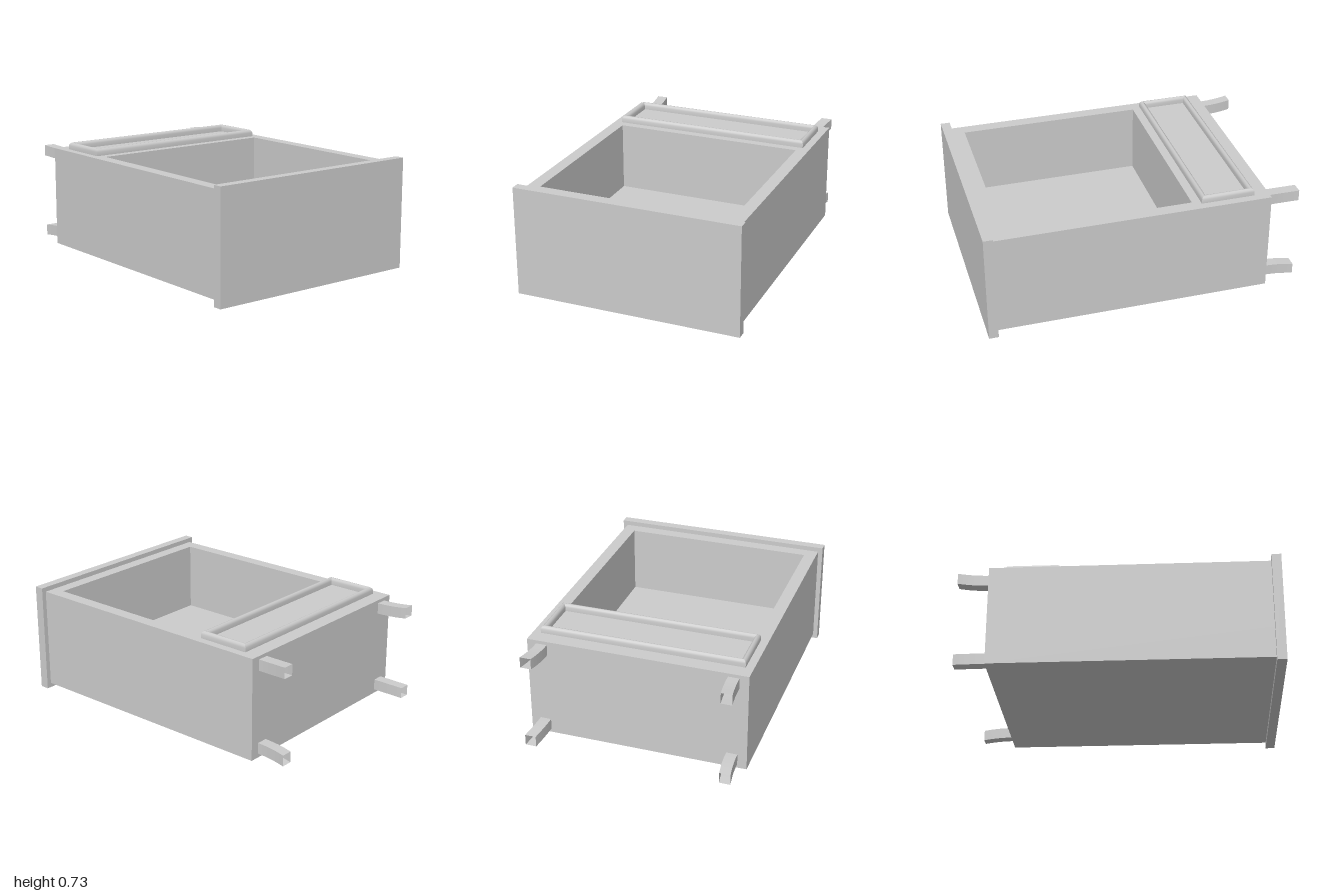
import * as THREE from 'three';

const grey = new THREE.MeshStandardMaterial({ color: 0xcccccc });
const pipeGrey = new THREE.MeshStandardMaterial({ color: 0xcccccc, flatShading: true, side: THREE.DoubleSide });

function part(name, geometry, material = grey) {
  const mesh = new THREE.Mesh(geometry, material);
  mesh.name = name;
  return mesh;
}

// Box given by its minimum and maximum corners
function boxBetween(x0, y0, z0, x1, y1, z1) {
  return new THREE.BoxGeometry(x1 - x0, y1 - y0, z1 - z0)
    .translate((x0 + x1) / 2, (y0 + y1) / 2, (z0 + z1) / 2);
}

// Counter-clockwise rectangle in x and -z
function rect(PathType, x, z0, z1) {
  const path = new PathType();
  path.moveTo(-x, -z1);
  path.lineTo(x, -z1);
  path.lineTo(x, -z0);
  path.lineTo(-x, -z0);
  path.closePath();
  return path;
}

// Mitred rectangular frame; each bar is smooth across its rounded profile
function frameGeometry(halfX, z0, z1) {
  const profile = [[0, 0.68], [0, 0.705], [0.005, 0.717], [0.014, 0.725],
    [0.021, 0.725], [0.03, 0.717], [0.034, 0.705], [0.034, 0.68]];
  const corners = [[-1, 1], [1, 1], [1, -1], [-1, -1]];
  const positions = [], index = [];
  for (let side = 0; side < 4; side++) {
    const base = positions.length / 3;
    for (const [sx, sz] of [corners[side], corners[(side + 1) % 4]]) {
      for (const [inset, y] of profile) {
        positions.push(sx * (halfX - inset), y, sz > 0 ? z1 - inset : z0 + inset);
      }
    }
    const n = profile.length;
    for (let i = 0; i < n - 1; i++) {
      const a = base + i, b = a + n;
      index.push(a, b, b + 1, a, b + 1, a + 1);
    }
  }
  const geometry = new THREE.BufferGeometry();
  geometry.setAttribute('position', new THREE.Float32BufferAttribute(positions, 3));
  geometry.setIndex(index);
  geometry.computeVertexNormals();
  return geometry;
}

// Open square pipe that splays outward as it leaves the back
function pipeGeometry(sx, sy) {
  const geometry = new THREE.CylinderGeometry(0.0495, 0.0495, 0.2, 4, 6, true)
    .rotateY(Math.PI / 4).rotateX(Math.PI / 2);
  const p = geometry.attributes.position;
  for (let i = 0; i < p.count; i++) {
    const t = (0.1 - p.getZ(i)) / 0.2;
    p.setXYZ(i,
      sx * 0.606 + p.getX(i) + sx * 0.017 * t * t,
      0.357 + sy * 0.267 + p.getY(i) + sy * 0.01 * t * t,
      p.getZ(i) - 0.9);
  }
  geometry.computeVertexNormals();
  return geometry;
}

export function createModel() {
  const model = new THREE.Group();
  model.name = 'basin';

  // Hollow body: a solid base under a wall ring with the well cut through it
  const body = new THREE.Group();
  body.name = 'body';
  const walls = rect(THREE.Shape, 0.7, -0.8, 0.94);
  walls.holes.push(rect(THREE.Path, 0.62, -0.31, 0.86));
  body.add(
    part('bodyBase', boxBetween(-0.7, 0.03, -0.8, 0.7, 0.23, 0.94)),
    part('bodyWalls', new THREE.ExtrudeGeometry(walls, { depth: 0.45, bevelEnabled: false })
      .rotateX(-Math.PI / 2).translate(0, 0.23, 0)));
  model.add(body);

  // Slightly oversized front plate
  model.add(part('frontPanel', boxBetween(-0.73, 0, 0.94, 0.73, 0.71, 1)));

  // Raised moulding on the rear deck
  model.add(part('deckFrame', frameGeometry(0.65, -0.705, -0.365)));

  // Four stub pipes at the back
  for (const sx of [-1, 1]) {
    for (const sy of [-1, 1]) {
      const name = (sy > 0 ? 'upper' : 'lower') + (sx > 0 ? 'Left' : 'Right') + 'Pipe';
      model.add(part(name, pipeGeometry(sx, sy), pipeGrey));
    }
  }
  return model;
}
